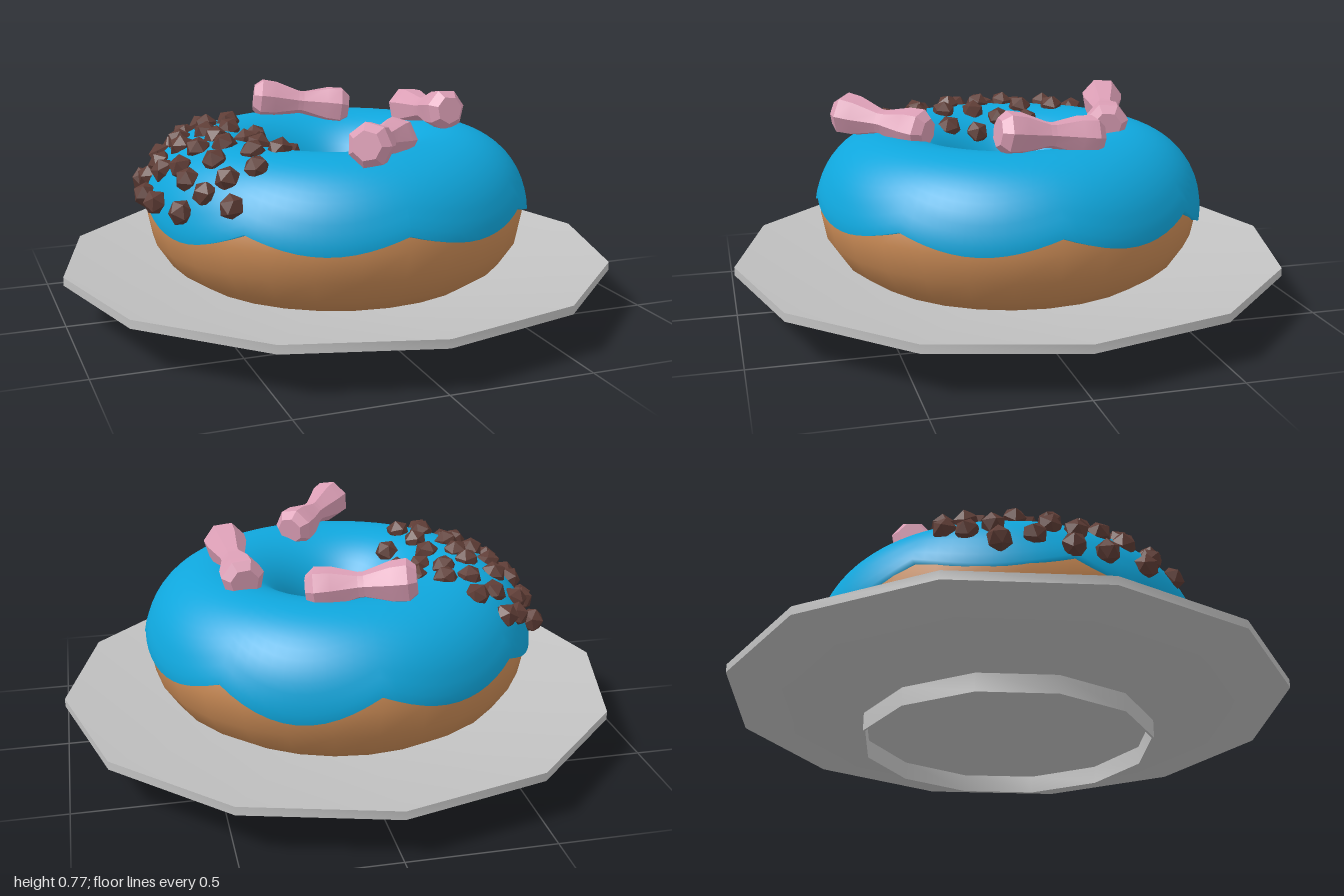
import * as THREE from 'three';
import { toCreasedNormals } from 'three/addons/utils/BufferGeometryUtils.js';
import { ParametricGeometry } from 'three/addons/geometries/ParametricGeometry.js';

const RING = 0.43;      // radius of the ring's centre line
const ICING_R = 0.268;  // radius of the icing's cross-section
const ICING_Y = 0.367;  // height of the icing's cross-section centre

const material = (name, color) => {
  const m = new THREE.MeshStandardMaterial({ color });
  m.name = name;
  return m;
};

// Turned part with crisp edges where the surface bends more than the crease angle
const turned = (points, sides, crease) =>
  toCreasedNormals(new THREE.LatheGeometry(points.map(([r, y]) => new THREE.Vector2(r, y)), sides), crease);

// Lower outer edge of the icing: eight scallops with sharp peaks and uneven drips
const DIPS = [0.365, 0.36, 0.355, 0.32, 0.35, 0.36, 0.345, 0.36];
function icingEdge(u) {
  const k = u * DIPS.length;
  const f = k - Math.floor(k);
  return 0.415 - (0.415 - DIPS[Math.floor(k) % DIPS.length]) * Math.sin(Math.PI * f);
}

// Icing shell, swept from a rolled-under lip outside, over the top, into the hole
function icingPoint(u, v, target) {
  const lip = 1 / 28;
  const start = Math.asin((icingEdge(u) - ICING_Y) / ICING_R);
  const t = Math.max(0, (v - lip) / (1 - lip));
  const phi = start + t * (Math.PI + 0.25 - start) - (v < lip ? 0.02 : 0);
  const r = ICING_R + 0.004 * Math.max(0, 1 - t * 12) - 0.03 * Math.max(0, 1 - v / lip);
  const rho = RING + r * Math.cos(phi);
  const a = u * Math.PI * 2;
  target.set(rho * Math.sin(a), ICING_Y + r * Math.sin(phi), rho * Math.cos(a));
}

// Chocolate pieces as x, z pairs; their height follows the icing
const CHIPS = [
  -0.51, -0.39, -0.41, -0.37, -0.57, -0.33, -0.49, -0.31, -0.66, -0.25, -0.59, -0.25,
  -0.42, -0.25, -0.33, -0.26, -0.66, -0.13, -0.54, -0.16, -0.46, -0.09, -0.36, -0.14,
  -0.26, -0.14, -0.63, -0.07, -0.56, -0.04, -0.70, -0.01, -0.64, 0.02, -0.45, 0.01,
  -0.30, -0.04, -0.35, 0.05, -0.24, 0.06, -0.53, 0.08, -0.69, 0.11, -0.60, 0.12,
  -0.45, 0.13, -0.34, 0.17, -0.23, 0.17, -0.60, 0.21, -0.51, 0.23, -0.64, 0.27,
  -0.39, 0.27, -0.30, 0.28, -0.57, 0.32, -0.50, 0.35, -0.41, 0.38, -0.51, 0.43,
];

// Bone candies: centre and the direction of the raised end
const BONES = [
  { at: [-0.005, 0.675, -0.37], to: [-0.965, 0.12, -0.26] },
  { at: [0.38, 0.68, -0.045], to: [0.08, 0.12, 1] },
  { at: [0, 0.675, 0.46], to: [-0.63, 0.12, 0.77] },
];

export function createModel() {
  const model = new THREE.Group();
  model.name = 'doughnutOnPlate';
  const plateGrey = material('plate grey', 0xc2c2c2);
  const doughTan = material('dough tan', 0xc98a55);
  const icingBlue = material('icing blue', 0x0fa6dc);
  const chocolate = material('chocolate brown', 0x5f3d36);
  const candyPink = material('candy pink', 0xdc9fb6);

  const add = (name, geometry, mat, parent = model) => {
    const mesh = new THREE.Mesh(geometry, mat);
    mesh.name = name;
    parent.add(mesh);
    return mesh;
  };

  // Twelve-sided dished plate on a thin foot ring
  add('plate', turned([[0, 0.065], [0.52, 0.065], [1, 0.15], [1, 0.18], [0.52, 0.095], [0, 0.095]], 12, 0.6), plateGrey);
  add('plateFoot', turned([[0.514, 0.066], [0.514, 0], [0.522, 0], [0.522, 0.066]], 12, 0.6), plateGrey);

  // Dough ring and its icing
  const dough = add('dough', new THREE.TorusGeometry(RING, 0.258, 16, 28), doughTan);
  dough.rotation.x = -Math.PI / 2;
  dough.position.y = 0.36;
  add('icing', new ParametricGeometry(icingPoint, 96, 28), icingBlue);

  // Chocolate pieces sitting on the icing
  const chips = new THREE.Group();
  chips.name = 'chocolatePieces';
  model.add(chips);
  const chipGeometry = new THREE.IcosahedronGeometry(0.046, 0);
  for (let i = 0; i < CHIPS.length; i += 2) {
    const [x, z] = [CHIPS[i], CHIPS[i + 1]];
    const offset = Math.min(Math.abs(Math.hypot(x, z) - RING), 0.256);
    const chip = add('chocolatePiece', chipGeometry, chocolate, chips);
    chip.position.set(x, ICING_Y + Math.sqrt(ICING_R ** 2 - offset ** 2), z);
    chip.rotation.set(i * 0.7, i * 1.3, 0);
  }

  // Three bone-shaped candies, thick at the ends and narrow in the middle
  const half = [[0, 0.185], [0.05, 0.185], [0.076, 0.155], [0.072, 0.1], [0.045, 0.01]];
  const profile = [...half.map(([r, y]) => [r, -y]), ...half.slice().reverse()];
  const boneGeometry = turned(profile, 7, 0.5);
  const up = new THREE.Vector3(0, 1, 0);
  for (const { at, to } of BONES) {
    const bone = add('boneCandy', boneGeometry, candyPink);
    bone.position.set(...at);
    bone.quaternion.setFromUnitVectors(up, new THREE.Vector3(...to).normalize());
  }
  return model;
}
